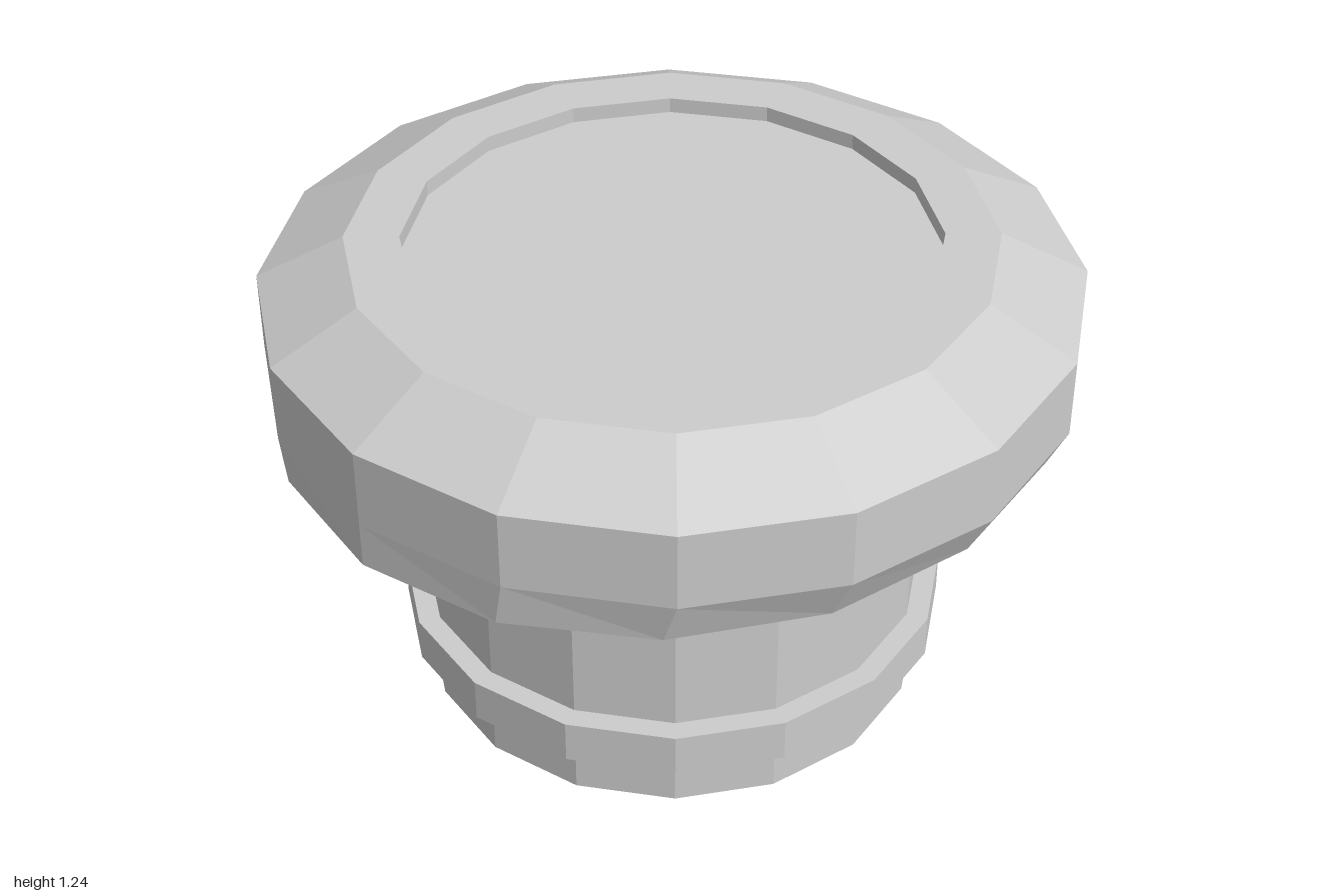
import * as THREE from 'three';

const SIDES = 16;

// Faceted turned part from [radius, height] points, listed bottom to top
function turned(name, profile, material) {
  const points = profile.map(([r, y]) => new THREE.Vector2(r, y));
  const mesh = new THREE.Mesh(new THREE.LatheGeometry(points, SIDES), material);
  mesh.name = name;
  return mesh;
}

export function createModel() {
  const group = new THREE.Group();
  group.name = 'knob';
  const grey = new THREE.MeshStandardMaterial({ color: 0xcccccc });
  grey.name = 'light grey';
  grey.flatShading = true;

  // Straight stem with a closed underside
  const stem = turned('stem', [[0, 0], [0.64, 0], [0.64, 0.665]], grey);

  // Raised band around the stem
  const band = turned('stemBand', [[0.64, 0.14], [0.695, 0.14], [0.695, 0.255], [0.64, 0.255]], grey);

  // Wide head with bevelled shoulders and a raised lip
  const lowerEdge = 0.815;
  const head = turned('head', [
    [0.64, 0.665], [1, lowerEdge], [1, 0.93], [1, 1.13],
    [0.785, 1.24], [0.65, 1.24], [0.65, 1.2],
  ], grey);

  // The lower edge of the head is pinched along x only
  const pos = head.geometry.attributes.position;
  for (let i = 0; i < pos.count; i++) {
    if (Math.abs(pos.getY(i) - lowerEdge) < 1e-4) pos.setX(i, pos.getX(i) * 0.94);
  }
  head.geometry.computeVertexNormals();

  // Sunken floor inside the lip
  const floor = turned('recessFloor', [[0.65, 1.2], [0, 1.2]], grey);

  group.add(stem, band, head, floor);
  return group;
}
